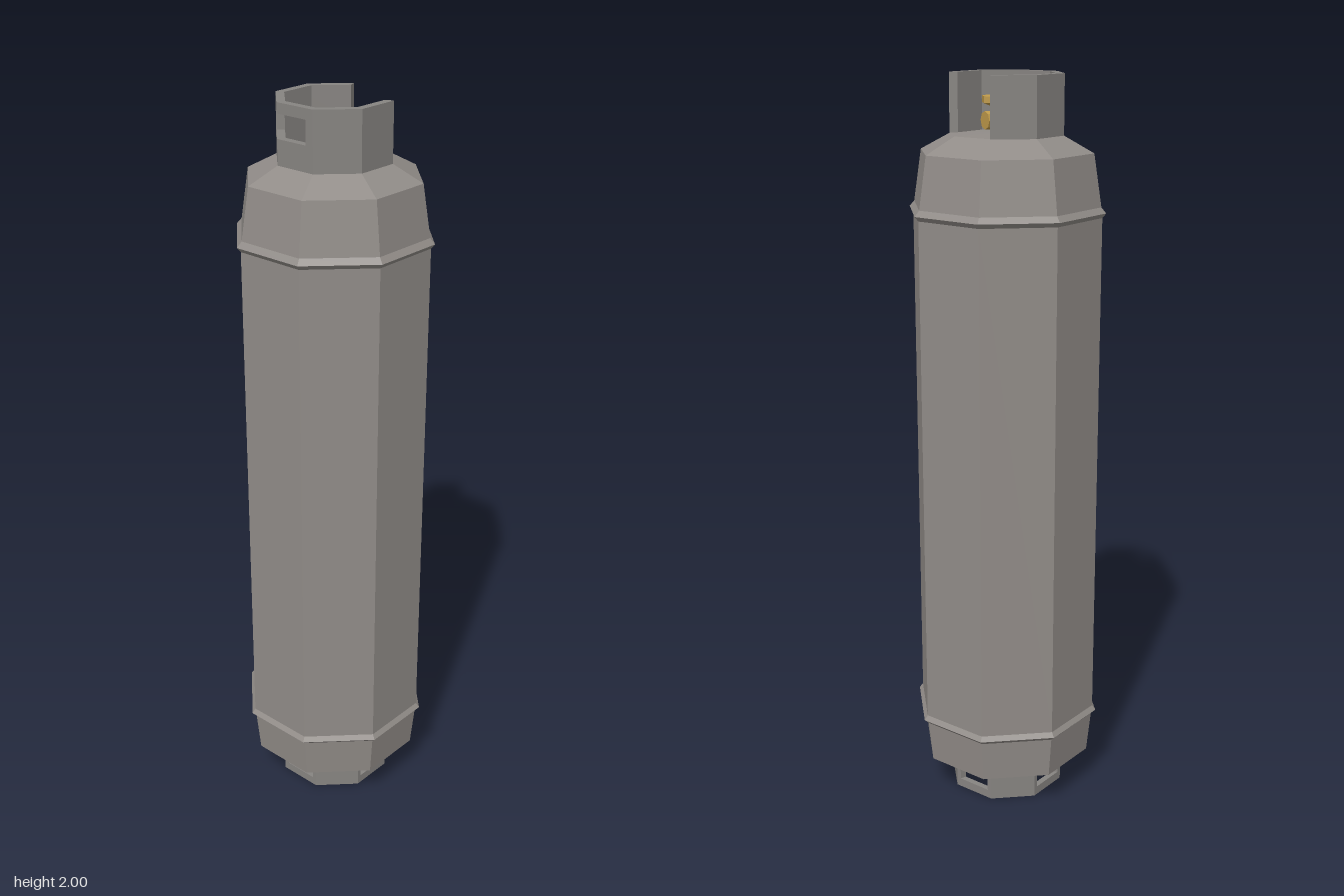
import * as THREE from 'three';

const paint = (name, color) => Object.assign(new THREE.MeshStandardMaterial({ color }), { name });

// Split every face so it gets its own flat normal.
function flat(geometry) {
  const g = geometry.index ? geometry.toNonIndexed() : geometry;
  g.computeVertexNormals();
  return g;
}

function addMesh(parent, name, geometry, material) {
  const mesh = new THREE.Mesh(flat(geometry), material);
  mesh.name = name;
  parent.add(mesh);
  return mesh;
}

function lathe(profile, sides) {
  return new THREE.LatheGeometry(profile.map(([r, y]) => new THREE.Vector2(r, y)), sides);
}

// Point on an octagon: whole t is a corner, fractions lie along the side. t = 0 is +z, t = 2 is +x.
function octagonPoint(t, r) {
  const corner = (i) => new THREE.Vector2(r * Math.sin(i * Math.PI / 4), -r * Math.cos(i * Math.PI / 4));
  const i = Math.floor(t);
  return corner(i).lerp(corner(i + 1), t - i);
}

// Thick wall following the octagon from t0 to t1.
function wall(rOut, rIn, t0, t1, y0, y1) {
  const stops = [t0];
  for (let i = Math.floor(t0) + 1; i < t1; i++) stops.push(i);
  stops.push(t1);
  const outer = stops.map((t) => octagonPoint(t, rOut));
  const inner = stops.map((t) => octagonPoint(t, rIn)).reverse();
  const g = new THREE.ExtrudeGeometry(new THREE.Shape([...outer, ...inner]), { depth: y1 - y0, bevelEnabled: false });
  return g.rotateX(-Math.PI / 2).translate(0, y0, 0);
}

// Three-lobed handle: one outline scaled at several heights and joined.
function knobGeometry() {
  const outline = [[-0.035, -0.005], [-0.062, 0.025], [-0.035, 0.06], [0, 0.04], [0.045, 0.045],
    [0.062, 0.005], [0.025, -0.025], [0.005, -0.063], [-0.035, -0.055]];
  const levels = [[1.916, 0], [1.916, 0.6], [1.926, 1], [1.943, 1], [1.95, 0]];
  const n = outline.length;
  const positions = [];
  const index = [];
  for (const [y, s] of levels) for (const [x, z] of outline) positions.push(x * s, y, z * s);
  for (let k = 0; k < levels.length - 1; k++) {
    for (let j = 0; j < n; j++) {
      const a = k * n + j;
      const b = k * n + (j + 1) % n;
      index.push(a, b, a + n, b, b + n, a + n);
    }
  }
  const g = new THREE.BufferGeometry();
  g.setAttribute('position', new THREE.Float32BufferAttribute(positions, 3));
  g.setIndex(index);
  return g;
}

export function createModel() {
  const model = new THREE.Group();
  model.name = 'gasCylinder';
  const bodyGrey = paint('bodyGrey', 0x918c88);
  const steelGrey = paint('steelGrey', 0x878481);
  const brass = paint('brass', 0xbf9a4a);

  // Tank with a raised seam at each end
  addMesh(model, 'tank', lathe([
    [0, 0.075], [0.165, 0.075], [0.24, 0.108], [0.252, 0.225], [0.265, 0.237], [0.255, 0.25],
    [0.255, 1.643], [0.265, 1.655], [0.252, 1.67], [0.231, 1.805], [0.15, 1.848], [0, 1.853],
  ], 8), bodyGrey);

  // Foot ring with windows in every other side
  const foot = new THREE.Group();
  foot.name = 'footRing';
  model.add(foot);
  addMesh(foot, 'footBottomRing', wall(0.163, 0.145, 0, 8, 0, 0.024), steelGrey);
  addMesh(foot, 'footTopRing', wall(0.163, 0.145, 0, 8, 0.062, 0.08), steelGrey);
  for (let i = 1; i < 8; i += 2) {
    addMesh(foot, 'footPillar', wall(0.163, 0.145, i - 0.1, i + 1.1, 0.024, 0.062), steelGrey);
  }

  // Guard collar, open towards +x, with a hand hole on the opposite corner
  const collar = new THREE.Group();
  collar.name = 'guardCollar';
  model.add(collar);
  addMesh(collar, 'collarBase', wall(0.152, 0.129, 3, 9, 1.845, 1.912), steelGrey);
  addMesh(collar, 'collarHandle', wall(0.152, 0.129, 3, 9, 1.973, 2), steelGrey);
  addMesh(collar, 'collarSideBack', wall(0.152, 0.129, 3, 5.2, 1.912, 1.973), steelGrey);
  addMesh(collar, 'collarSideFront', wall(0.152, 0.129, 6.8, 9, 1.912, 1.973), steelGrey);

  // Valve with outlet and handle
  const valve = new THREE.Group();
  valve.name = 'valve';
  model.add(valve);
  addMesh(valve, 'valveStem', lathe([
    [0.028, 1.845], [0.028, 1.856], [0.019, 1.862], [0.019, 1.9], [0.012, 1.906], [0.012, 1.92],
  ], 8), brass);
  const outlet = lathe([[0.012, 0], [0.012, 0.04], [0.023, 0.04], [0.023, 0.062], [0, 0.062]], 8);
  outlet.rotateZ(-Math.PI / 2).translate(0, 1.884, 0);
  addMesh(valve, 'valveOutlet', outlet, brass);
  addMesh(valve, 'valveKnob', knobGeometry(), brass);

  return model;
}
